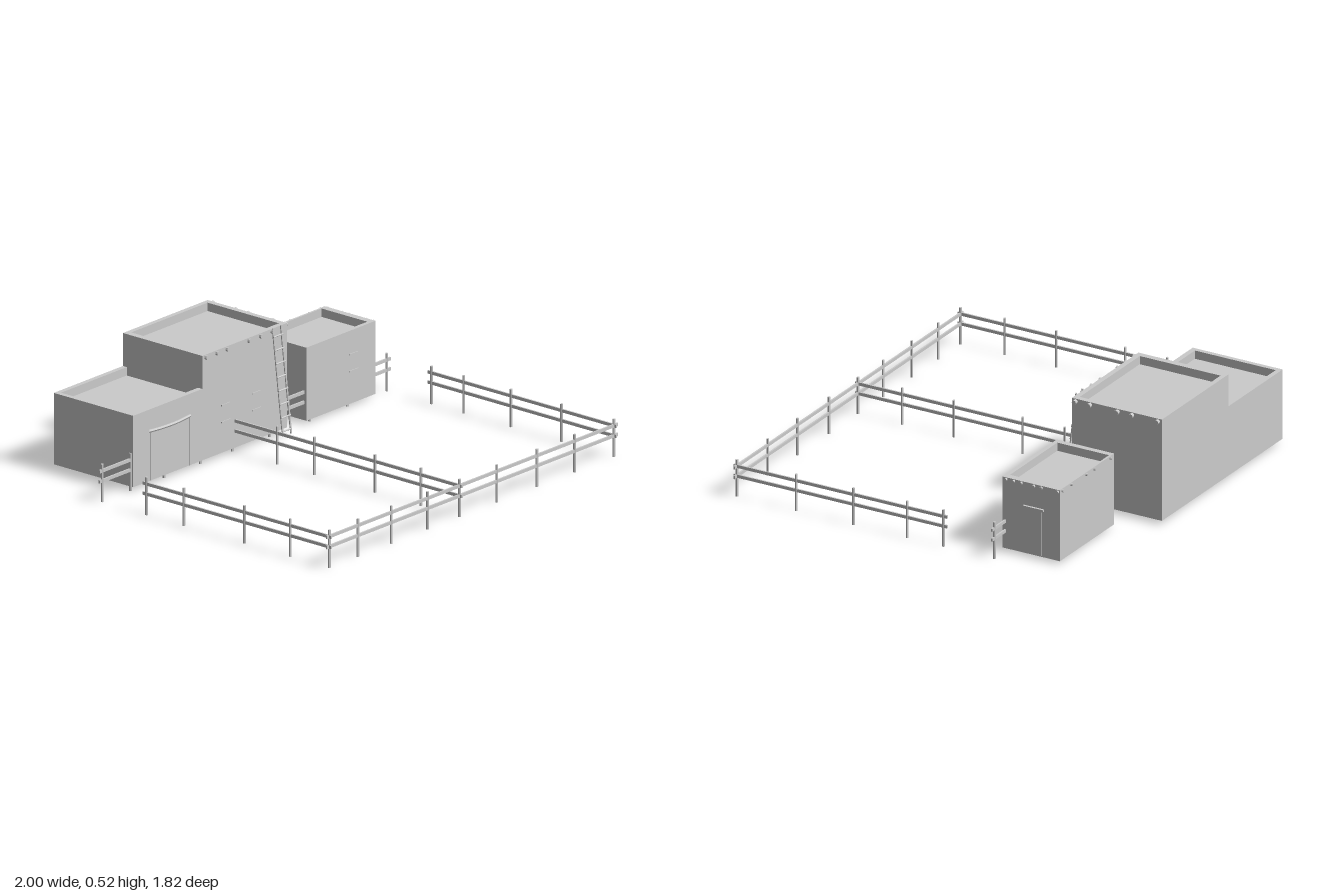
import * as THREE from 'three';

const mat = new THREE.MeshStandardMaterial({ color: 0xcccccc, flatShading: true, side: THREE.DoubleSide });

function add(parent, name, geometry, x = 0, y = 0, z = 0) {
  const mesh = new THREE.Mesh(geometry, mat);
  mesh.name = name;
  mesh.position.set(x, y, z);
  parent.add(mesh);
  return mesh;
}

function box(parent, name, w, h, d, x, y, z) {
  return add(parent, name, new THREE.BoxGeometry(w, h, d), x, y, z);
}

function group(parent, name) {
  const g = new THREE.Group();
  g.name = name;
  parent.add(g);
  return g;
}

// Rectangle corners at one height: front left, front right, back right, back left
const ring = (x0, x1, z0, z1, y) => [[x0, y, z1], [x1, y, z1], [x1, y, z0], [x0, y, z0]];

// Open-bottomed walls with a parapet round a sunken roof.
// wallBase lifts the foot of a single wall where two blocks meet.
function block(parent, name, o, inner, base, top, wallBase = {}) {
  const roofY = top - 0.04;
  const rings = [ring(...o, base), ring(...o, top), ring(...inner, top), ring(...inner, roofY)];
  const points = [];
  const quad = (a, b, c, d) => points.push(...a, ...b, ...c, ...a, ...c, ...d);
  for (let r = 0; r < 3; r++) {
    for (let i = 0; i < 4; i++) {
      const j = (i + 1) % 4;
      let a = rings[r][i], b = rings[r][j];
      if (r === 0 && i in wallBase) {
        if (wallBase[i] >= top) continue;
        a = [a[0], wallBase[i], a[2]];
        b = [b[0], wallBase[i], b[2]];
      }
      quad(a, b, rings[r + 1][j], rings[r + 1][i]);
    }
  }
  quad(...rings[3]);
  const g = new THREE.BufferGeometry();
  g.setAttribute('position', new THREE.Float32BufferAttribute(points, 3));
  g.computeVertexNormals();
  return add(parent, name, g);
}

// Round log along x or z
function log(parent, name, axis, radius, length, x, y, z) {
  const g = new THREE.CylinderGeometry(radius, radius, length, 8);
  if (axis === 'x') g.rotateZ(Math.PI / 2);
  else g.rotateX(Math.PI / 2);
  return add(parent, name, g, x, y, z);
}

// Post-and-rail fence along x or z
function fence(parent, name, axis, fixed, from, to, posts) {
  const g = group(parent, name);
  const mid = (from + to) / 2, len = to - from;
  for (const y of [0.1, 0.148]) {
    if (axis === 'x') box(g, 'rail', len, 0.015, 0.008, mid, y, fixed);
    else box(g, 'rail', 0.008, 0.015, len, fixed, y, mid);
  }
  for (const p of posts) {
    const [x, z] = axis === 'x' ? [p, fixed] : [fixed, p];
    add(g, 'post', new THREE.CylinderGeometry(0.007, 0.007, 0.18, 6), x, 0.09, z);
  }
}

export function createModel() {
  const model = new THREE.Group();
  model.name = 'adobeFarmstead';

  // Main house: low wing and tall block share one open interior
  const house = group(model, 'mainHouse');
  block(house, 'lowWing', [-0.785, -0.31, -0.91, -0.44], [-0.762, -0.31, -0.887, -0.465], 0.02, 0.36, { 1: 0.36 });
  block(house, 'tallBlock', [-0.31, 0.272, -0.91, -0.44], [-0.28, 0.245, -0.887, -0.465], 0.02, 0.517, { 3: 0.36 });

  // Roof beam ends
  for (const x of [-0.285, -0.21, -0.14, 0.01, 0.09, 0.17])
    log(house, 'frontBeamEnd', 'z', 0.011, 0.03, x, 0.504, -0.443);
  for (const z of [-0.46, -0.535, -0.68, -0.755, -0.89])
    log(house, 'sideBeamEnd', 'x', 0.011, 0.03, 0.274, 0.504, z);

  // Doorway with a slightly sagging lintel
  const sag = new THREE.CatmullRomCurve3([[-0.68, 0.258], [-0.6, 0.252], [-0.48, 0.25], [-0.395, 0.257]]
    .map(([x, y]) => new THREE.Vector3(x, y, -0.44)));
  add(house, 'doorLintel', new THREE.TubeGeometry(sag, 8, 0.008, 6));
  box(house, 'doorJamb', 0.004, 0.23, 0.006, -0.4, 0.135, -0.44);
  box(house, 'doorJamb', 0.004, 0.23, 0.006, -0.665, 0.135, -0.44);

  // Window lintels and sills
  for (const x of [-0.15, 0.06])
    for (const y of [0.165, 0.245]) box(house, 'windowTrim', 0.06, 0.006, 0.008, x, y, -0.44);

  // Leaning ladder
  const ladder = group(house, 'ladder');
  ladder.position.set(0.197, 0.02, -0.375);
  ladder.rotation.x = -Math.atan2(0.06, 0.5);
  for (const x of [-0.028, 0.028])
    add(ladder, 'ladderRail', new THREE.CylinderGeometry(0.005, 0.005, 0.505, 6), x, 0.252, 0);
  for (let i = 0; i < 8; i++) log(ladder, 'rung', 'x', 0.004, 0.064, 0, 0.022 + i * 0.063, 0.002);

  // Small hut
  const hut = group(model, 'smallHut');
  block(hut, 'hutWalls', [0.405, 0.88, -0.74, -0.44], [0.433, 0.847, -0.73, -0.46], 0.015, 0.363);
  for (const z of [-0.46, -0.5, -0.54, -0.605, -0.645, -0.73])
    log(hut, 'sideBeamEnd', 'x', 0.007, 0.02, 0.88, 0.354, z);
  for (const x of [0.44, 0.58, 0.65, 0.78, 0.86])
    log(hut, 'backBeamEnd', 'z', 0.007, 0.02, x, 0.354, -0.74);
  box(hut, 'hutDoorLintel', 0.016, 0.011, 0.105, 0.883, 0.245, -0.605);
  for (const z of [-0.565, -0.645]) box(hut, 'hutDoorJamb', 0.006, 0.22, 0.004, 0.88, 0.13, z);
  for (const y of [0.17, 0.25]) box(hut, 'windowTrim', 0.06, 0.006, 0.008, 0.73, y, -0.44);

  // Fences round the two yards, open at the back corners
  const fences = group(model, 'fences');
  const xs = [-0.98, -0.785, -0.555, -0.305, -0.085, 0.17, 0.445, 0.705, 0.975];
  fence(fences, 'frontFence', 'x', 0.89, -1, 1, xs);
  fence(fences, 'backFence', 'x', -0.455, -1, 1, xs);
  fence(fences, 'rightFence', 'z', -0.982, -0.21, 0.905, [-0.19, 0.03, 0.39, 0.66]);
  fence(fences, 'middleFence', 'z', -0.085, -0.455, 0.905, [-0.19, 0.03, 0.39, 0.66]);
  fence(fences, 'leftFence', 'z', 0.976, -0.21, 0.905, [-0.19, 0, 0.28, 0.58]);

  return model;
}
